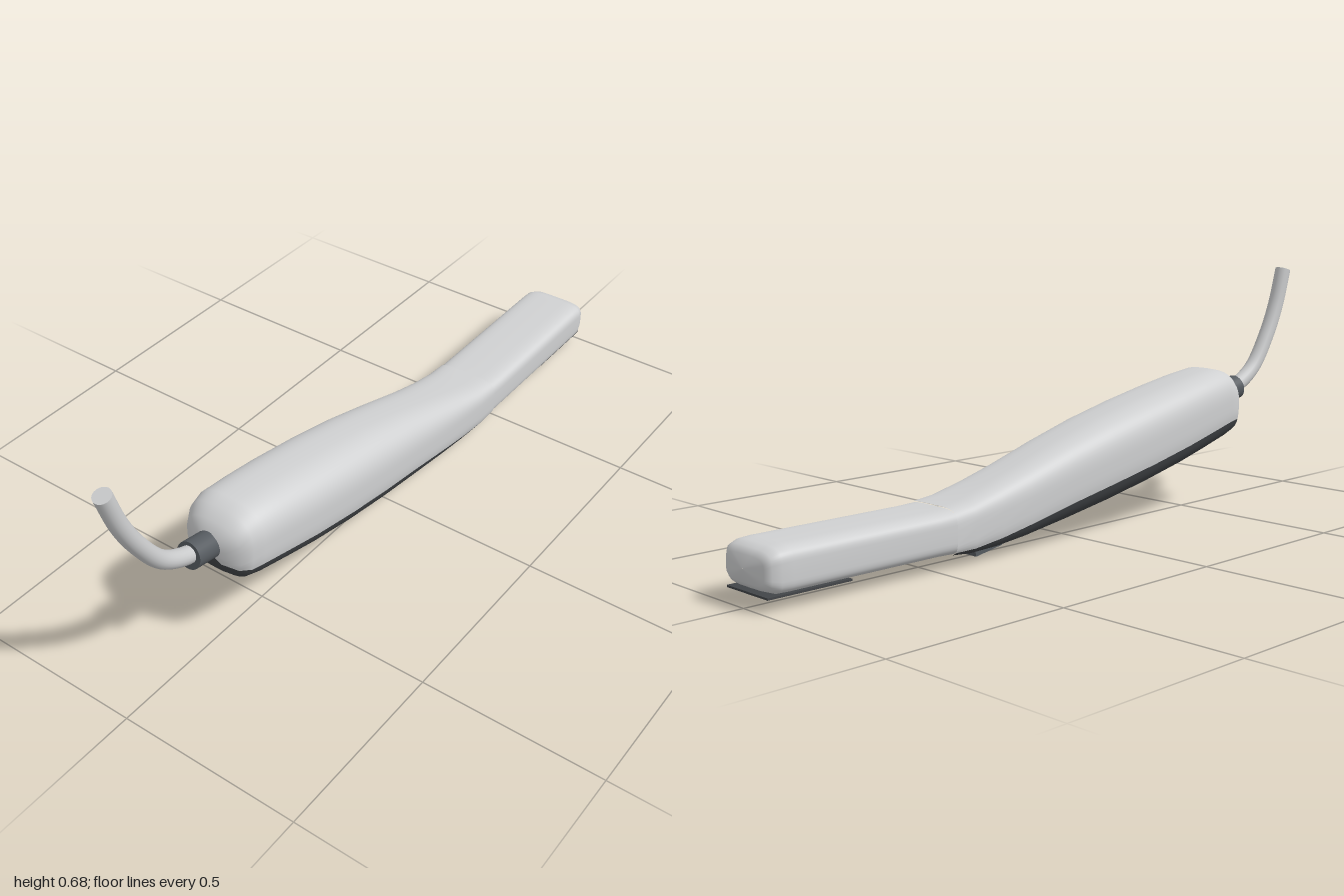
import * as THREE from 'three';
import { mergeVertices } from 'three/addons/utils/BufferGeometryUtils.js';

const mat = (name, color) => {
  const m = new THREE.MeshStandardMaterial({ color });
  m.name = name;
  return m;
};

// Stations: [xTop, yTop, xBottom, yBottom, halfWidth, roundness, splitHeight]
// range(split angle) gives the arc of each rounded section to be covered.
function loft(stations, range, segments) {
  const pos = [], index = [];
  const pw = (v, p) => Math.sign(v) * Math.pow(Math.abs(v), p);
  for (const [xt, yt, xb, yb, w, p, h = -1] of stations) {
    const split = -Math.asin(Math.min(1, Math.pow(-h, 1 / p)));
    const [a0, a1] = range(split);
    for (let j = 0; j <= segments; j++) {
      const a = a0 + (a1 - a0) * j / segments;
      const t = (pw(Math.sin(a), p) + 1) / 2;
      pos.push(xb + (xt - xb) * t, yb + (yt - yb) * t, w * pw(Math.cos(a), p));
    }
  }
  const n = segments + 1;
  for (let i = 0; i < stations.length - 1; i++) {
    for (let j = 0; j < segments; j++) {
      const a = i * n + j, b = a + n;
      index.push(a, b, b + 1, a, b + 1, a + 1);
    }
  }
  let g = new THREE.BufferGeometry();
  g.setAttribute('position', new THREE.Float32BufferAttribute(pos, 3));
  g.setIndex(index);
  g = mergeVertices(g, 1e-5);
  g.computeVertexNormals();
  return g;
}

export function createModel() {
  const group = new THREE.Group();
  const shell = mat('light grey shell', 0xd0d1d2);
  const cableGrey = mat('cable grey', 0xcacbcc);
  const dark = mat('dark grey underside', 0x424548);
  const rubber = mat('slate rubber', 0x565b60);
  const add = (name, geometry, material) => {
    const m = new THREE.Mesh(geometry, material);
    m.name = name;
    group.add(m);
    return m;
  };

  // Handle, tapering from the rounded rear to the neck
  const handle = [
    [-0.683, 0.305, -0.682, 0.295, 0.005, 0.75, -0.99],
    [-0.675, 0.345, -0.673, 0.255, 0.05, 0.75, -0.85],
    [-0.655, 0.37, -0.66, 0.225, 0.085, 0.74, -0.6],
    [-0.625, 0.391, -0.64, 0.203, 0.102, 0.72, -0.48],
    [-0.59, 0.398, -0.60, 0.191, 0.109, 0.7, -0.45],
    [-0.50, 0.386, -0.50, 0.164, 0.113, 0.7, -0.45],
    [-0.40, 0.368, -0.40, 0.139, 0.117, 0.7, -0.45],
    [-0.25, 0.338, -0.25, 0.106, 0.118, 0.7, -0.45],
    [-0.10, 0.304, -0.10, 0.077, 0.115, 0.7, -0.45],
    [0.05, 0.262, 0.05, 0.052, 0.108, 0.68, -0.46],
    [0.20, 0.214, 0.20, 0.031, 0.101, 0.63, -0.52],
    [0.30, 0.184, 0.30, 0.023, 0.098, 0.57, -0.6],
    [0.39, 0.160, 0.39, 0.023, 0.098, 0.5, -0.7],
    [0.455, 0.151, 0.455, 0.030, 0.098, 0.45, -0.8],
  ];
  add('handleShell', loft(handle, s => [s, Math.PI - s], 40), shell);
  add('handleUnderside', loft(handle, s => [Math.PI - s, 2 * Math.PI + s], 20), dark);

  // Slim scanning head with a softly rounded tip
  const head = [
    [0.452, 0.148, 0.452, 0.033, 0.096, 0.44],
    [0.50, 0.146, 0.50, 0.035, 0.097, 0.44],
    [0.93, 0.146, 0.93, 0.035, 0.097, 0.44],
    [0.96, 0.144, 0.96, 0.036, 0.096, 0.44],
    [0.982, 0.137, 0.982, 0.044, 0.089, 0.46],
    [0.994, 0.122, 0.994, 0.058, 0.074, 0.5],
    [1.0, 0.091, 1.0, 0.09, 0.001, 0.5],
  ];
  add('scanHead', loft(head, () => [0, Math.PI * 2], 56), shell);

  // Dark window under the tip
  add('scanWindow', new THREE.BoxGeometry(0.23, 0.005, 0.16), dark)
    .position.set(0.875, 0.034, 0);

  // Tilted button under the neck
  const button = add('button', new THREE.BoxGeometry(0.09, 0.018, 0.05), rubber);
  button.position.set(0.288, 0.0165, 0);
  button.rotation.z = -0.17;

  // Strain relief at the rear
  const relief = add('strainRelief', new THREE.CylinderGeometry(0.036, 0.036, 0.085, 32), rubber);
  relief.position.set(-0.703, 0.318, 0);
  relief.rotation.z = Math.PI / 2 - 0.2;

  // Cable sweeping upward, with a closed end
  const path = new THREE.CatmullRomCurve3([
    [-0.70, 0.32], [-0.76, 0.336], [-0.83, 0.38], [-0.895, 0.47], [-0.94, 0.56], [-0.976, 0.671],
  ].map(([x, y]) => new THREE.Vector3(x, y, 0)));
  add('cable', new THREE.TubeGeometry(path, 48, 0.023, 20), cableGrey);
  const cap = add('cableEnd', new THREE.CircleGeometry(0.023, 20), cableGrey);
  cap.position.copy(path.getPoint(1));
  cap.lookAt(path.getPoint(1).add(path.getTangent(1)));

  return group;
}
